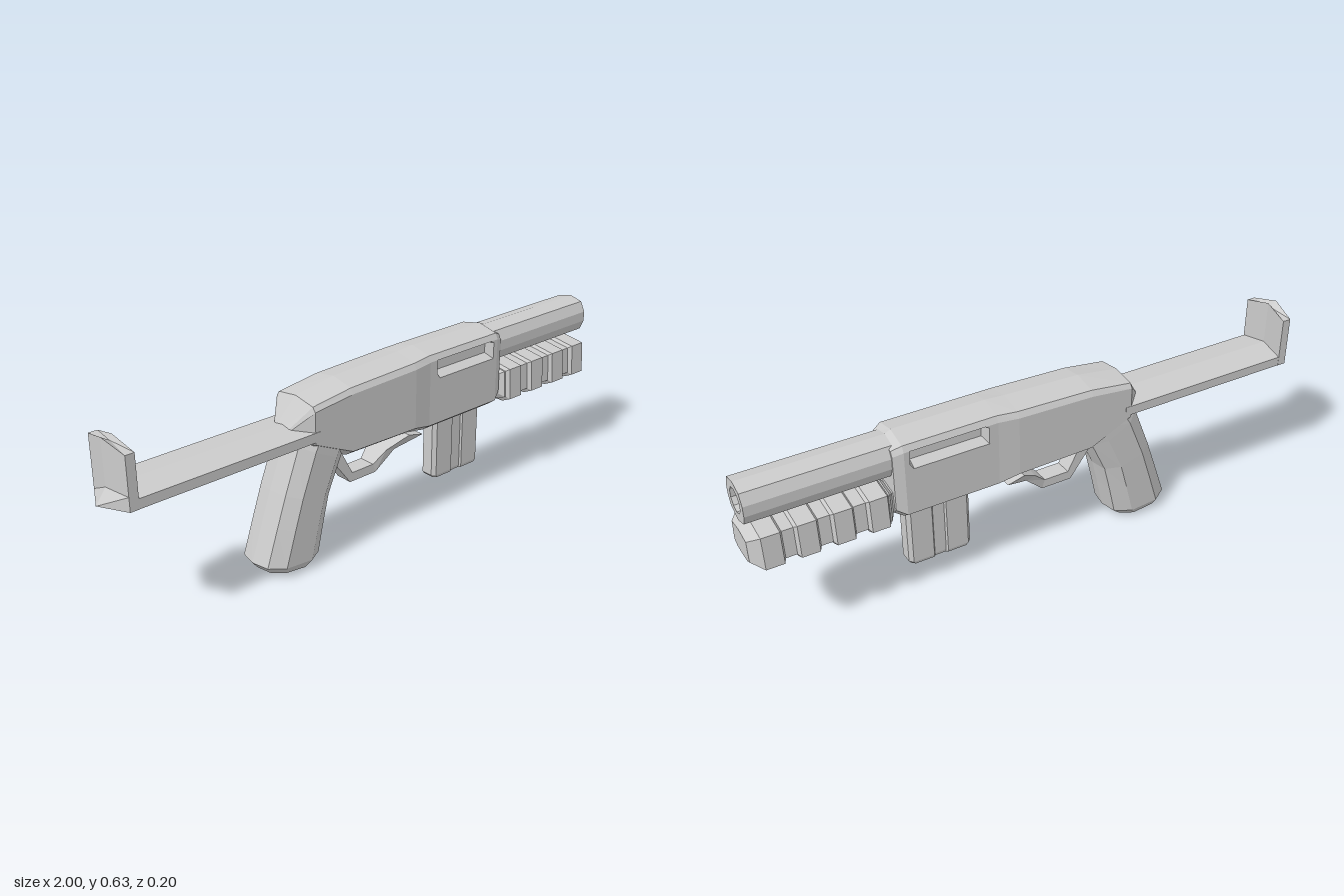
import * as THREE from 'three';

const material = new THREE.MeshStandardMaterial({ color: 0xcccccc, flatShading: true, side: THREE.DoubleSide });

function addMesh(group, name, geometry) {
  const mesh = new THREE.Mesh(geometry, material);
  mesh.name = name;
  group.add(mesh);
}

// Turns a half outline [a, z] running from z = 0 to z = 0 into a closed loop
function mirrored(half) {
  return [...half, ...half.slice(1, -1).reverse().map(([a, z, ...rest]) => [a, -z, ...rest])];
}

// Skins a list of equal-length closed rings of [x, y, z] and caps both ends
function loft(rings) {
  const n = rings[0].length;
  const tris = [];
  for (let i = 0; i < rings.length - 1; i++) {
    for (let j = 0; j < n; j++) {
      const k = (j + 1) % n;
      const [a, b, c, d] = [rings[i][j], rings[i][k], rings[i + 1][k], rings[i + 1][j]];
      tris.push([a, b, c], [a, c, d]);
    }
  }
  const cap = (ring, flip) => {
    const mid = [0, 1, 2].map((q) => ring.reduce((s, p) => s + p[q], 0) / n);
    ring.forEach((p, j) => {
      const next = ring[(j + 1) % n];
      tris.push(flip ? [mid, next, p] : [mid, p, next]);
    });
  };
  cap(rings[0], true);
  cap(rings[rings.length - 1], false);
  // Signed volume tells whether the skin faces outwards
  let volume = 0;
  for (const [a, b, c] of tris) {
    volume += new THREE.Vector3(...a).dot(new THREE.Vector3(...b).cross(new THREE.Vector3(...c)));
  }
  if (volume < 0) tris.forEach((t) => t.reverse());
  const geometry = new THREE.BufferGeometry();
  geometry.setAttribute('position', new THREE.Float32BufferAttribute(tris.flat(2), 3));
  geometry.computeVertexNormals();
  return geometry;
}

// Receiver section at x; inset pushes the side window inwards
function receiverRing([x, top, bottom, w, inset = 0]) {
  const up = (y) => 0.44 + (y - 0.44) * (top - 0.44) / 0.157;
  return mirrored([
    [top, 0], [up(0.58), w * 0.88], [up(0.56), w],
    [up(0.552), w - inset], [up(0.512), w - inset], [up(0.495), w],
    [0.44, w], [bottom + 0.025, w], [bottom, w * 0.6], [bottom, 0],
  ]).map(([y, z]) => [x, y, z]);
}

export function createModel() {
  const group = new THREE.Group();

  // Receiver with a recessed window on each side
  addMesh(group, 'receiver', loft([
    [-0.365, 0.465, 0.43, 0.03], [-0.3, 0.56, 0.4, 0.093], [-0.15, 0.582, 0.33, 0.093],
    [0.12, 0.592, 0.325, 0.093], [0.19, 0.597, 0.31, 0.086], [0.222, 0.597, 0.31, 0.086],
    [0.235, 0.597, 0.31, 0.086, 0.03], [0.478, 0.597, 0.31, 0.086, 0.03],
    [0.49, 0.597, 0.31, 0.086], [0.508, 0.597, 0.31, 0.086], [0.54, 0.58, 0.33, 0.072],
  ].map(receiverRing)));

  // Barrel with an open bore
  const barrelShape = new THREE.Shape(mirrored([
    [0.587, 0], [0.575, 0.05], [0.54, 0.068], [0.505, 0.068], [0.472, 0.054], [0.452, 0],
  ]).map(([y, z]) => new THREE.Vector2(z, y)));
  const bore = [];
  for (let i = 0; i < 10; i++) {
    const a = (i / 10) * Math.PI * 2;
    bore.push(new THREE.Vector2(0.041 * Math.sin(a), 0.522 + 0.041 * Math.cos(a)));
  }
  barrelShape.holes.push(new THREE.Path(bore));
  const barrel = new THREE.ExtrudeGeometry(barrelShape, { depth: 0.495, bevelEnabled: false });
  addMesh(group, 'barrel', barrel.rotateY(Math.PI / 2).translate(0.5, 0, 0));
  const boreEnd = new THREE.CircleGeometry(0.042, 10).rotateY(Math.PI / 2).translate(0.85, 0.522, 0);
  addMesh(group, 'boreEnd', boreEnd);

  // Ribbed handguard: [x, scale] steps along one section
  const steps = [[0.5, 0.62], [0.545, 0.62], [0.56, 0.86]];
  for (const start of [0.565, 0.678, 0.79, 0.9]) {
    steps.push([start, 0.86], [start + 0.008, 1], [start + 0.066, 1], [start + 0.074, 0.86]);
  }
  steps[steps.length - 1] = [1, 0.64];
  const guardSection = mirrored([[0.447, 0], [0.434, 0.092], [0.325, 0.1], [0.308, 0.065], [0.306, 0]]);
  addMesh(group, 'handguard', loft(steps.map(([x, s]) =>
    guardSection.map(([y, z]) => [x, 0.376 + (y - 0.376) * s, z * s]))));

  // Grip: rear and front profile points with a half width
  const gripSection = mirrored([[0, 0], [0.06, 0.65], [0.28, 1], [0.72, 1], [0.95, 0.65], [1, 0]]);
  addMesh(group, 'grip', loft([
    [-0.335, 0.45, -0.13, 0.4, 0.09], [-0.352, 0.425, -0.165, 0.33, 0.092],
    [-0.41, 0.275, -0.217, 0.22, 0.094], [-0.447, 0.17, -0.238, 0.135, 0.094],
    [-0.49, 0.046, -0.262, 0.028, 0.094], [-0.47, 0.022, -0.295, 0.002, 0.08],
  ].map(([xr, yr, xf, yf, w]) =>
    gripSection.map(([t, z]) => [xr + (xf - xr) * t, yr + (yf - yr) * t, z * w]))));

  // Trigger guard: outer and inner profile points, flaring where it meets the receiver
  addMesh(group, 'triggerGuard', loft([
    [0.16, 0.315, 0.1, 0.33, 0.085], [0.07, 0.275, 0.035, 0.282, 0.045], [0.0, 0.209, -0.01, 0.24, 0.03],
    [-0.11, 0.209, -0.1, 0.24, 0.03], [-0.178, 0.3, -0.145, 0.325, 0.03],
  ].map(([xo, yo, xi, yi, w]) => [[xo, yo, w], [xo, yo, -w], [xi, yi, -w], [xi, yi, w]])));

  // Magazine with a shallow groove on each side
  const magazineSection = mirrored([
    [-0.11, 0], [-0.11, 0.021], [-0.098, 0.033], [-0.025, 0.033], [-0.02, 0.027],
    [0.02, 0.027], [0.025, 0.033], [0.098, 0.033], [0.11, 0.021], [0.11, 0],
  ]);
  addMesh(group, 'magazine', loft([[0.34, 1], [0.1, 1], [0.09, 0.93]].map(([y, s]) =>
    magazineSection.map(([x, z]) => [0.38 + x * s, y, z * s]))));

  // Stock bar with a low ridge on top
  const barSection = mirrored([[0.48, 0], [0.465, 0.094], [0.433, 0.094], [0.433, 0]]);
  addMesh(group, 'stockBar', loft([-0.95, -0.28].map((x) => barSection.map(([y, z]) => [x, y, z]))));

  // Butt plate: pointed at the back, peaked on top
  addMesh(group, 'buttPlate', loft([[0.433, 0.433, -1], [0.48, 0.48, -0.965], [0.605, 0.63, -0.965]].map(
    ([edgeY, midY, backX]) => mirrored([
      [backX, 0, midY], [-0.95, 0.095, edgeY], [-0.92, 0.095, edgeY], [-0.93, 0, midY],
    ]).map(([x, z, y]) => [x, y, z]))));

  return group;
}
